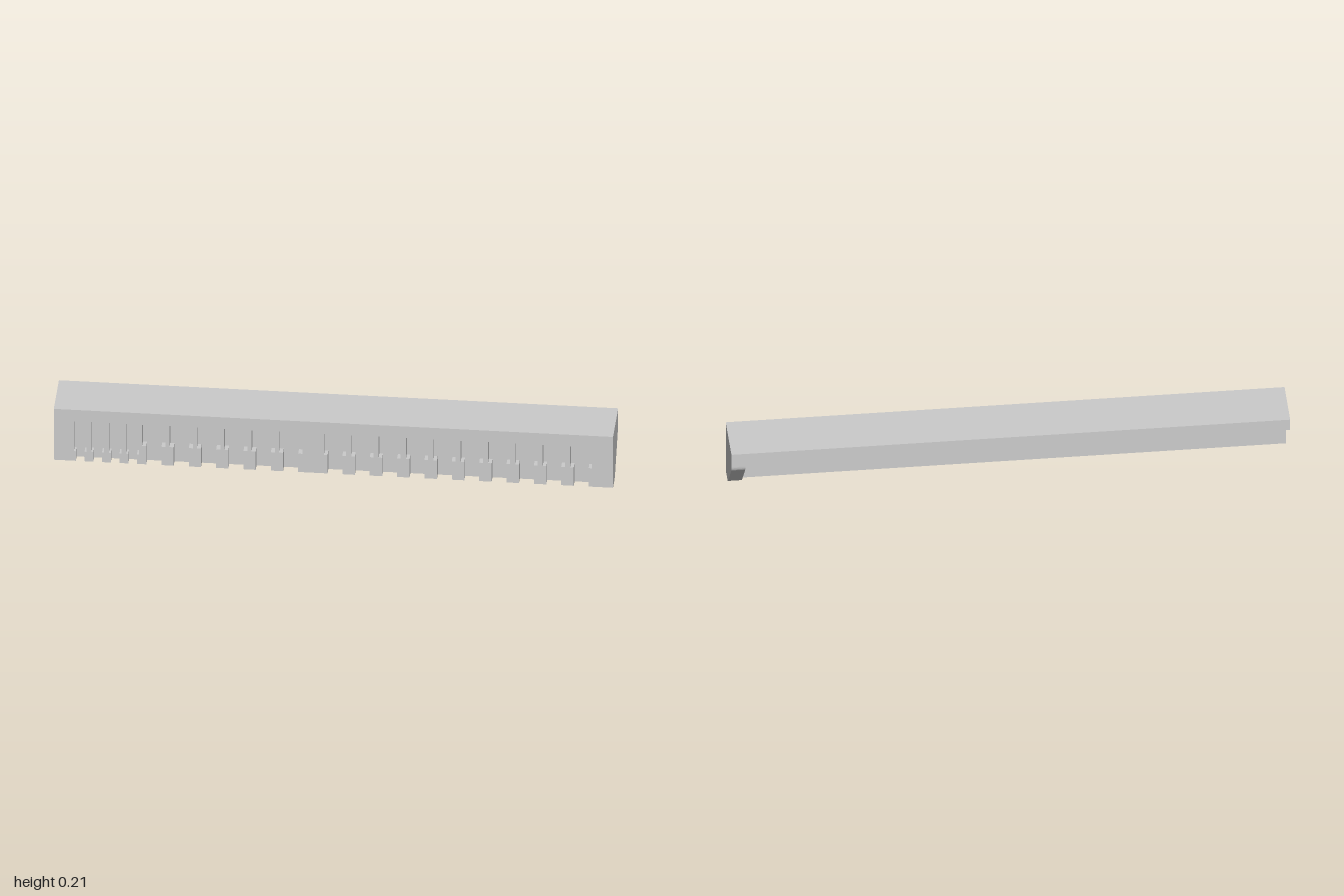
import * as THREE from 'three';

const TOP = 0.213, BACK = -0.097, FRONT = 0.097;
const SLAB_Y = 0.168;   // underside of the top slab
const WALL_Z = 0.047;   // inner face of the front wall
const RELIEF_Z = 0.067; // floor of the front slots

const material = new THREE.MeshStandardMaterial({ color: 0xcccccc, flatShading: true });

function addMesh(group, name, geometry) {
  const mesh = new THREE.Mesh(geometry, material);
  mesh.name = name;
  group.add(mesh);
}

function boxBetween(x0, x1, y0, y1, z0, z1) {
  return new THREE.BoxGeometry(x1 - x0, y1 - y0, z1 - z0)
    .translate((x0 + x1) / 2, (y0 + y1) / 2, (z0 + z1) / 2);
}

// Rows of slots: start, count, pitch, width, height of the step, inset below the step
const slotRows = [
  [-0.928, 4, 0.0625, 0.045, 0.04, 0.007],
  [-0.684, 6, 0.0978, 0.084, 0.077, 0.015],
  [-0.034, 10, 0.0978, 0.079, 0.077, 0.013],
];

// Front face with stepped slots that open at the bottom
function slottedFace() {
  const slotTop = 0.165;
  const shape = new THREE.Shape();
  shape.moveTo(-1, 0);
  for (const [start, count, pitch, width, step, inset] of slotRows) {
    for (let i = 0; i < count; i++) {
      const a = start + i * pitch, b = a + width;
      shape.lineTo(a + inset, 0);
      shape.lineTo(a + inset, step);
      shape.lineTo(a, step);
      shape.lineTo(a, slotTop);
      shape.lineTo(b, slotTop);
      shape.lineTo(b, step);
      shape.lineTo(b - inset, step);
      shape.lineTo(b - inset, 0);
    }
  }
  shape.lineTo(1, 0);
  shape.lineTo(1, TOP);
  shape.lineTo(-1, TOP);
  shape.closePath();
  return new THREE.ExtrudeGeometry(shape, { depth: FRONT - RELIEF_Z, bevelEnabled: false })
    .translate(0, 0, RELIEF_Z);
}

// Sloped end wall with rounded corners, drawn in z-y and extruded along x
function endWallGeometry() {
  const shape = new THREE.Shape();
  shape.moveTo(WALL_Z, 0);
  shape.lineTo(WALL_Z, SLAB_Y);
  shape.lineTo(BACK, SLAB_Y);
  shape.lineTo(BACK, 0.158);
  shape.quadraticCurveTo(BACK, 0.145, -0.089, 0.136);
  shape.lineTo(0.017, 0.013);
  shape.quadraticCurveTo(0.028, 0, 0.042, 0);
  shape.closePath();
  return new THREE.ExtrudeGeometry(shape, { depth: 0.05, bevelEnabled: false, curveSegments: 6 })
    .rotateY(-Math.PI / 2)
    .translate(1, 0, 0);
}

export function createModel() {
  const group = new THREE.Group();
  group.name = 'slottedRail';
  addMesh(group, 'slottedFace', slottedFace());
  addMesh(group, 'frontWall', boxBetween(-1, 1, 0, SLAB_Y, WALL_Z, RELIEF_Z));
  addMesh(group, 'topSlab', boxBetween(-1, 1, SLAB_Y, TOP, BACK, RELIEF_Z));
  addMesh(group, 'endWall', endWallGeometry());
  return group;
}
